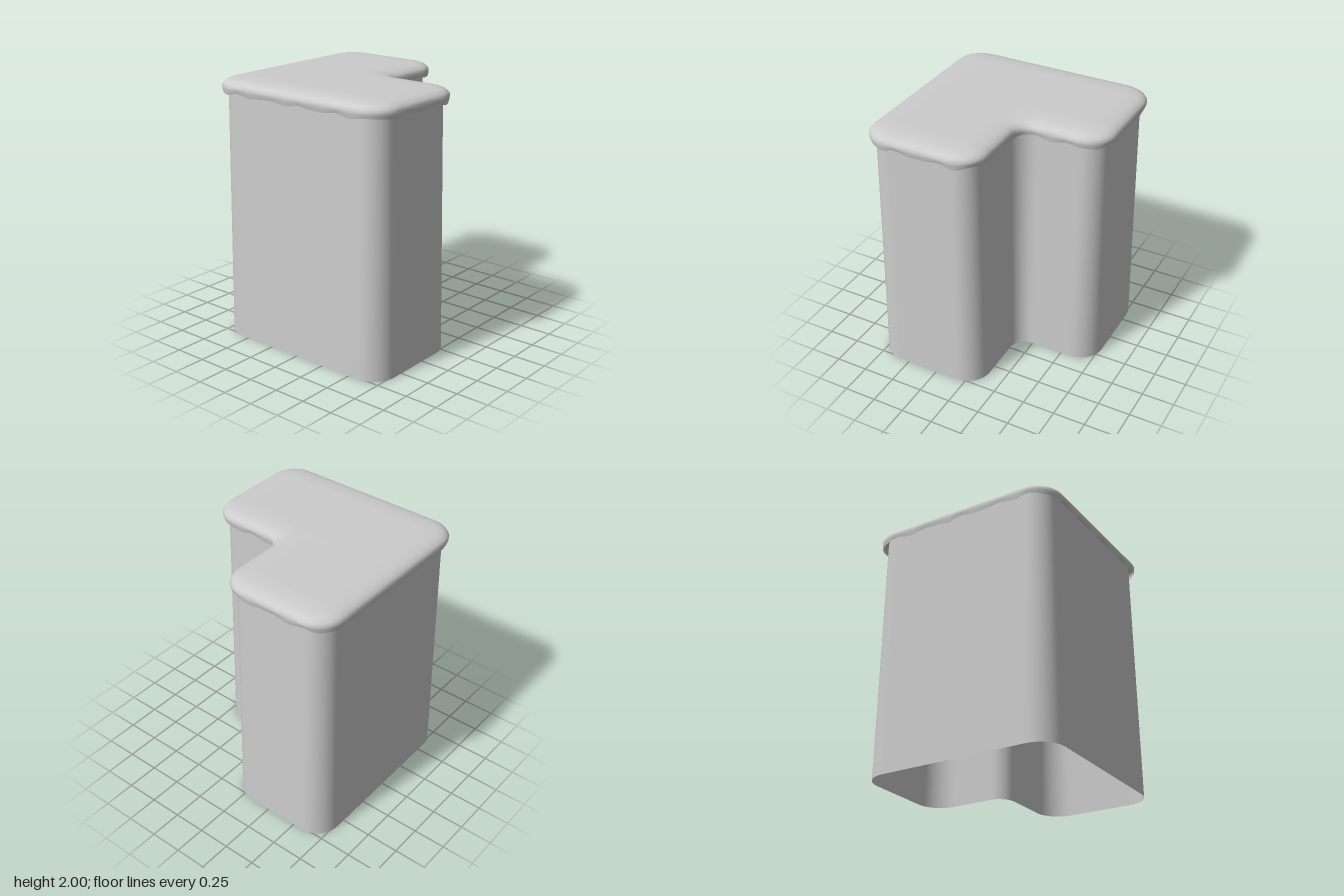
import * as THREE from 'three';

const E = 0.788, NX = 0.133, NZ = -0.138; // half size and notch corner
const CORNERS = [[-E, E], [E, E], [E, NZ], [NX, NZ], [NX, -E], [-E, -E]];
const EDGE = 20, ARC = 10;

// Rounded L outline, inset by d, as [x, z] points (anticlockwise from above)
function outline(d) {
  const n = CORNERS.length, arcs = [];
  for (let i = 0; i < n; i++) {
    const p = CORNERS[i], a = CORNERS[(i + n - 1) % n], b = CORNERS[(i + 1) % n];
    const u = [Math.sign(p[0] - a[0]), Math.sign(p[1] - a[1])];
    const v = [Math.sign(b[0] - p[0]), Math.sign(b[1] - p[1])];
    const inner = u[0] * v[1] - u[1] * v[0] > 0;
    const r = inner ? 0.11 + d : Math.max(0.21 - d, 0.06);
    const s = inner ? -1 : 1;
    // the inward direction at a corner is (v - u) * s
    const c = [0, 1].map(k => p[k] + (v[k] - u[k]) * s * d);
    const o = [0, 1].map(k => c[k] + (v[k] - u[k]) * r);
    const arc = [];
    for (let j = 0; j <= ARC; j++) {
      const t = j / ARC * Math.PI / 2;
      arc.push([0, 1].map(k => o[k] - v[k] * r * Math.cos(t) + u[k] * r * Math.sin(t)));
    }
    arcs.push(arc);
  }
  const pts = [];
  arcs.forEach((arc, i) => {
    pts.push(...arc);
    const a = arc[ARC], b = arcs[(i + 1) % n][0];
    for (let j = 1; j < EDGE; j++) {
      const t = j / EDGE;
      pts.push([a[0] + (b[0] - a[0]) * t, a[1] + (b[1] - a[1]) * t]);
    }
  });
  return pts;
}

// Loft a profile of [inset, height, wave amount] upward around the outline
function loft(profile, closeTop) {
  const pos = [], idx = [];
  let ring, n;
  profile.forEach(([d, y, wave = 0], i) => {
    ring = outline(d);
    n = ring.length;
    let len = 0;
    const along = ring.map((p, j) => {
      if (j) len += Math.hypot(p[0] - ring[j - 1][0], p[1] - ring[j - 1][1]);
      return len;
    });
    len += Math.hypot(ring[0][0] - ring[n - 1][0], ring[0][1] - ring[n - 1][1]);
    ring.forEach(([x, z], j) => {
      const t = along[j] / len * Math.PI * 2;
      pos.push(x, y + wave * (Math.sin(19 * t) + 0.5 * Math.sin(31 * t + 1)), z);
      if (i) {
        const k = (j + 1) % n, lo = (i - 1) * n, hi = i * n;
        idx.push(lo + j, lo + k, hi + k, lo + j, hi + k, hi + j);
      }
    });
  });
  if (closeTop) {
    const base = (profile.length - 1) * n;
    const flat = ring.map(([x, z]) => new THREE.Vector2(x, -z));
    for (const f of THREE.ShapeUtils.triangulateShape(flat, [])) idx.push(...f.map(v => v + base));
  }
  const geo = new THREE.BufferGeometry();
  geo.setAttribute('position', new THREE.Float32BufferAttribute(pos, 3));
  geo.setIndex(idx);
  geo.computeVertexNormals();
  return geo;
}

export function createModel() {
  const group = new THREE.Group();
  group.name = 'coveredLBlock';
  const grey = new THREE.MeshStandardMaterial({ color: 0xcccccc, side: THREE.DoubleSide });
  grey.name = 'light grey';

  // Tapering wall, open at the bottom
  const wall = new THREE.Mesh(loft([[0.02, 0], [0.034, 0.95], [0.048, 1.94]], false), grey);
  wall.name = 'wall';

  // Soft cap with a wavy hanging rim
  const cap = new THREE.Mesh(loft([
    [0.008, 1.893, 0.009], [0.001, 1.92, 0.004], [0, 1.942], [0.012, 1.96], [0.032, 1.975],
    [0.06, 1.986], [0.1, 1.993], [0.15, 1.998], [0.19, 2],
  ], true), grey);
  cap.name = 'cap';

  group.add(wall, cap);
  return group;
}
